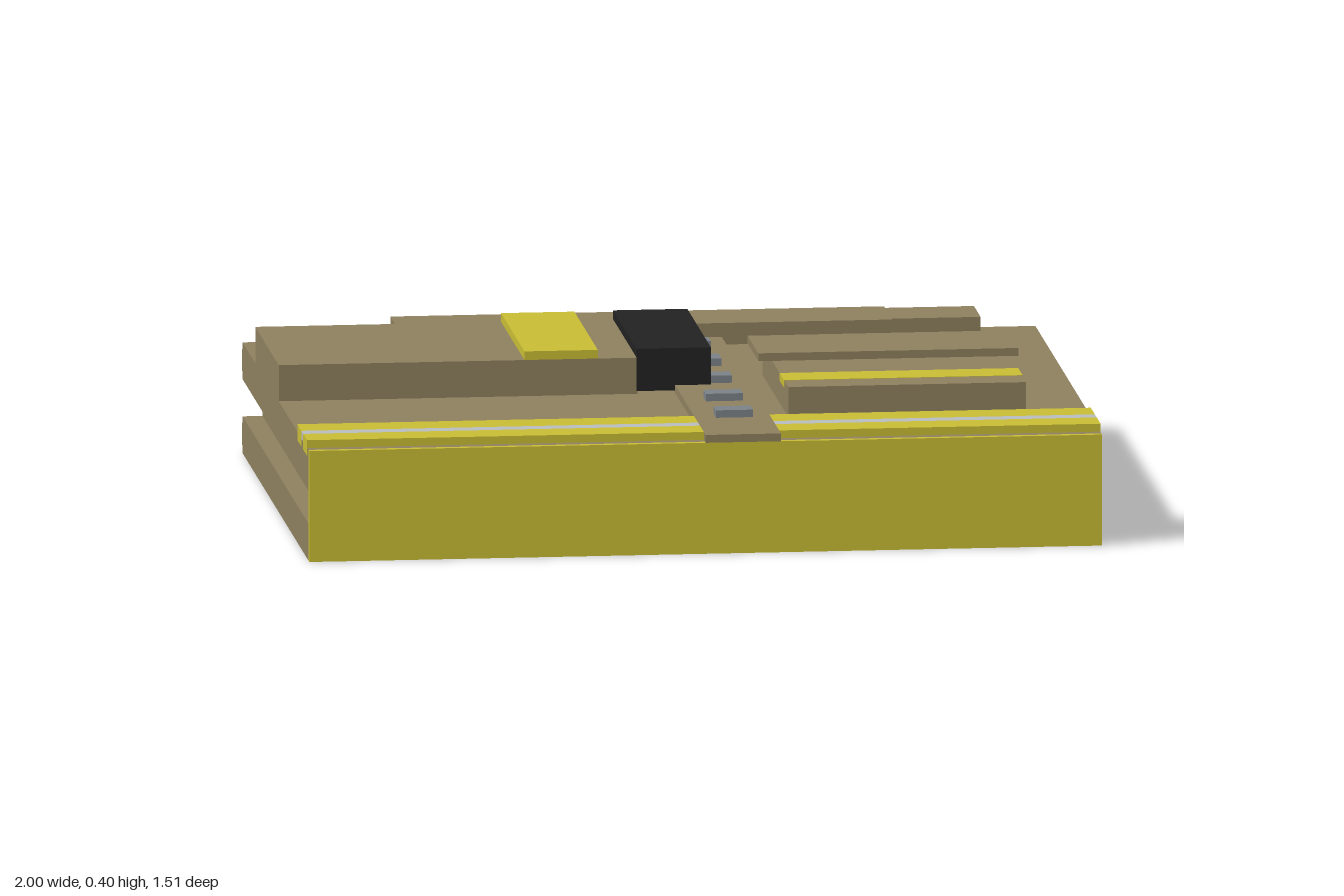
import * as THREE from 'three';

const mat = (name, color) => {
  const m = new THREE.MeshStandardMaterial({ color });
  m.name = name;
  return m;
};

export function createModel() {
  const group = new THREE.Group();
  const tan = mat('tan', 0x8f815f);
  const yellow = mat('yellow', 0xc9bd34);
  const paleGrey = mat('paleGrey', 0xbabdc0);
  const steel = mat('steelGrey', 0x7b8288);
  const black = mat('black', 0x222222);

  // Box given by its extents along each axis
  const box = (name, material, [x0, x1], [y0, y1], [z0, z1]) => {
    const mesh = new THREE.Mesh(new THREE.BoxGeometry(x1 - x0, y1 - y0, z1 - z0), material);
    mesh.position.set((x0 + x1) / 2, (y0 + y1) / 2, (z0 + z1) / 2);
    mesh.name = name;
    group.add(mesh);
  };

  // Body: three layers, the middle one recessed at the sides, each with a rear rib
  const top = 0.283, layer = top / 3;
  for (let i = 0; i < 3; i++) {
    const w = i === 1 ? 0.95 : 1, y = i * layer;
    box('bodyLayer', tan, [-w, w], [y, y + layer], [-0.737, 0.737]);
    box('rearRib', tan, [-w, w], [y + 0.02, y + 0.075], [-0.753, -0.737]);
  }
  box('frontPanel', yellow, [-1, 1], [0, top], [0.737, 0.753]);

  // Striped bands either side of the centre path
  const edge = 0.303;
  for (const x of [[-1.001, 0], [0.19, 1.001]]) {
    box('frontBand', yellow, x, [0.263, edge], [0.625, 0.712]);
    box('paleStripe', paleGrey, x, [top, edge], [0.583, 0.625]);
    box('rearBand', yellow, x, [0.263, edge], [0.492, 0.583]);
  }

  // Centre path with studs
  box('centrePath', tan, [0, 0.19], [top, edge], [-0.575, 0.753]);
  for (const z of [0.496, 0.27, 0.025, -0.212, -0.445]) {
    const h = z === -0.212 ? 0.035 : 0.028;
    box('stud', steel, [0.052, 0.145], [edge, 0.322], [z - h, z + h]);
  }

  // Large raised deck with yellow plate and black block
  box('largeDeck', tan, [-1, -0.095], [top, 0.375], [-0.455, 0.07]);
  box('deckPlate', yellow, [-0.38, -0.195], [0.375, 0.397], [-0.455, 0.07]);
  box('blackBlock', black, [-0.097, 0.09], [0.29, 0.398], [-0.456, 0.071]);

  // Smaller raised deck with overhanging cap and stripe
  box('smallDeck', tan, [0.245, 0.845], [top, 0.36], [-0.15, 0.43]);
  box('smallDeckStripe', yellow, [0.244, 0.846], [0.342, 0.361], [0.242, 0.34]);
  box('smallDeckCap', tan, [0.21, 0.866], [0.36, 0.38], [-0.17, 0.072]);

  // Rear raised ledge
  box('rearLedge', tan, [-0.625, 0.62], [top, 0.338], [-0.753, -0.572]);
  box('rearLedgeEnd', tan, [0.62, 0.845], [top, 0.337], [-0.737, -0.588]);

  return group;
}
